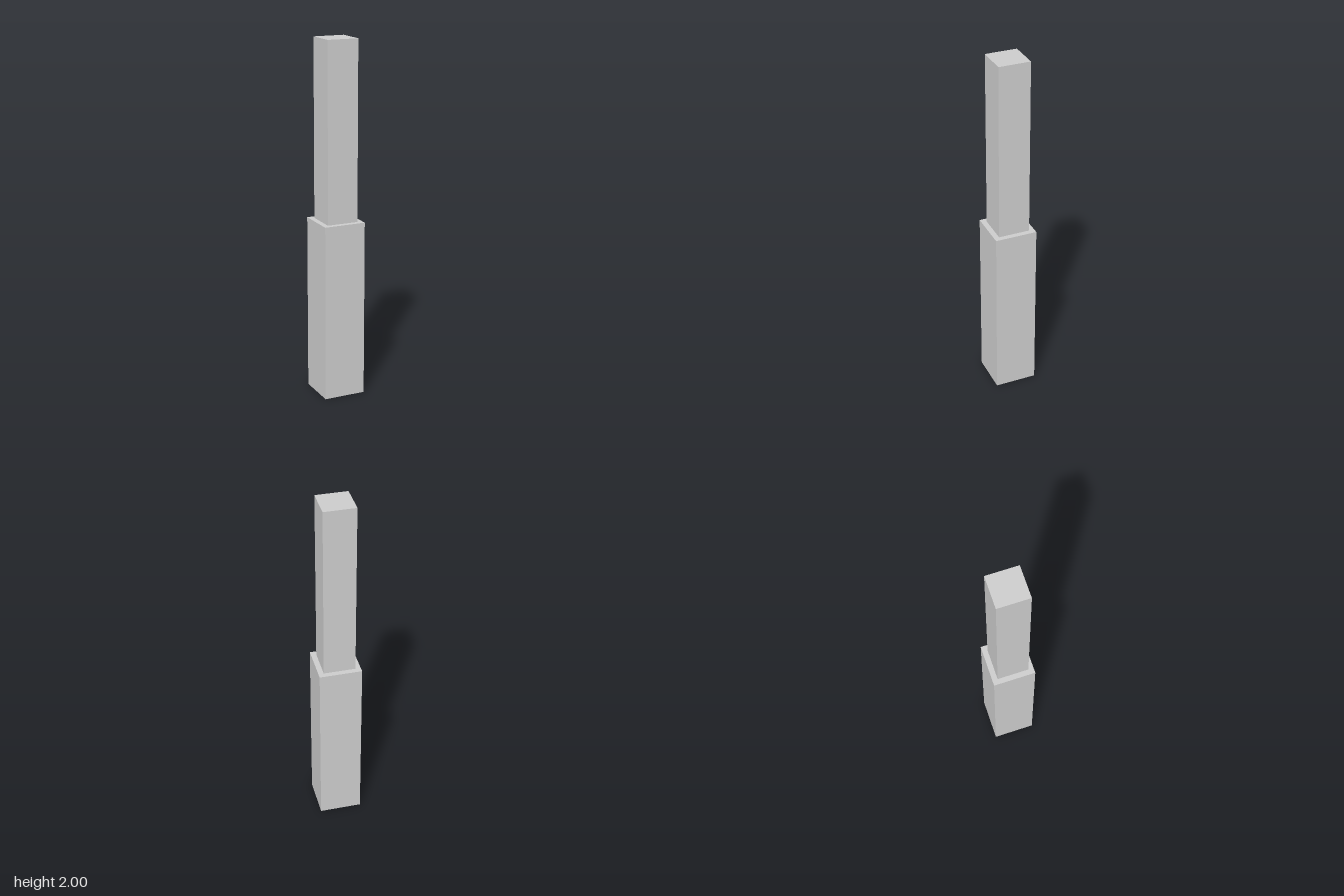
import * as THREE from 'three';

export function createModel() {
  const group = new THREE.Group();
  group.name = 'steppedPost';
  const material = new THREE.MeshStandardMaterial({ color: 0xcccccc });

  // A square section standing on the given height
  function addSection(name, width, height, bottom) {
    const mesh = new THREE.Mesh(new THREE.BoxGeometry(width, height, width), material);
    mesh.name = name;
    mesh.position.y = bottom + height / 2;
    group.add(mesh);
  }

  addSection('lowerPost', 0.238, 1, 0); // wide base half
  addSection('upperPost', 0.178, 1, 1); // narrower top half

  return group;
}
